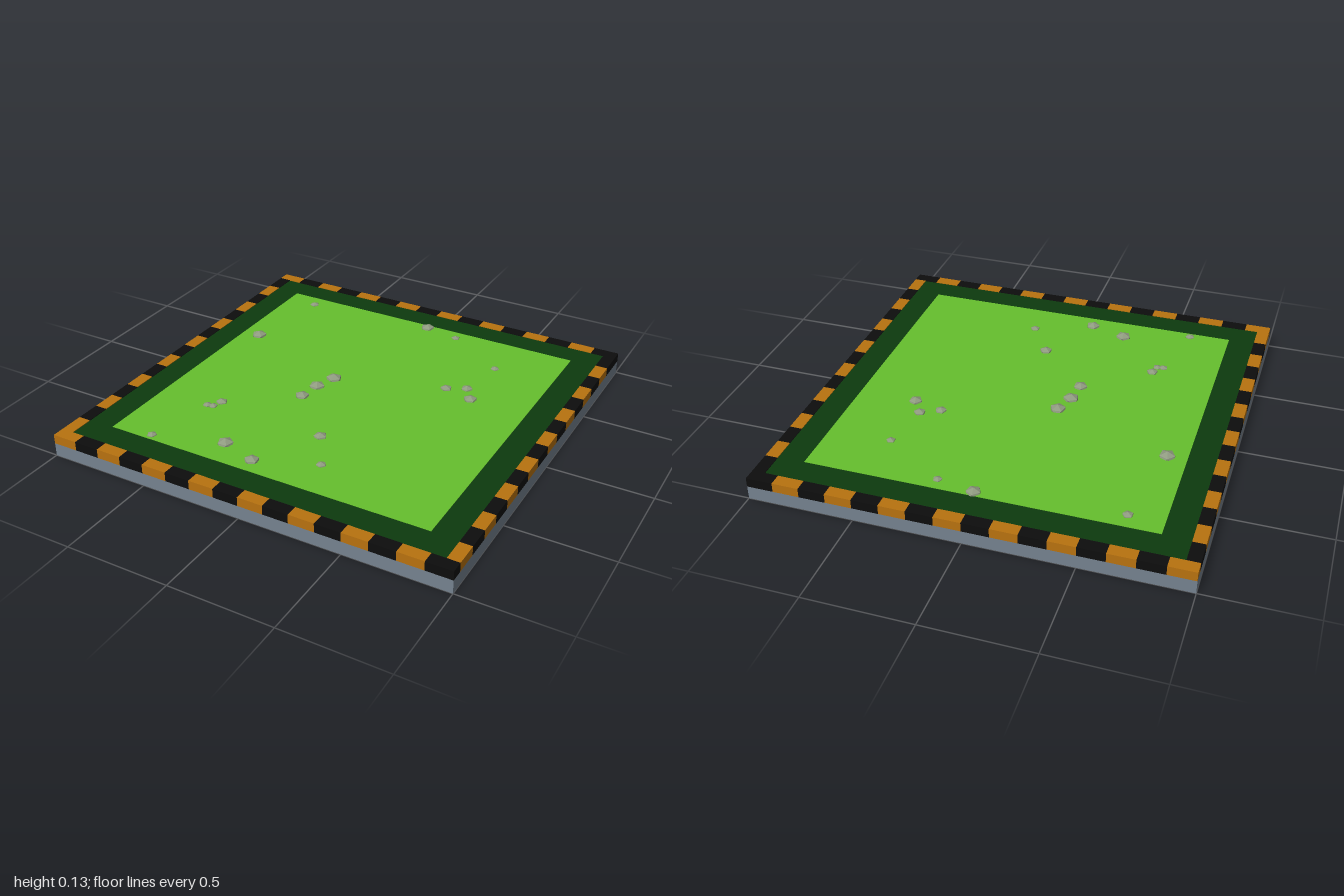
import * as THREE from 'three';

const flat = (name, color) => {
  const m = new THREE.MeshStandardMaterial({ color });
  m.name = name;
  return m;
};

export function createModel() {
  const slate = flat('slate', 0x75828f);
  const orange = flat('orange', 0xb8720f);
  const black = flat('black', 0x0d0d0d);
  const darkGreen = flat('dark green', 0x0d3a0e);
  const grass = flat('grass green', 0x66bf2d);
  const stone = flat('stone', 0x8f9a80);
  stone.flatShading = true;

  const model = new THREE.Group();
  model.name = 'arenaTile';

  // Box given by its centre in plan, its size in plan and its height range
  const slab = (parent, name, mat, x, z, w, d, y0, y1) => {
    const mesh = new THREE.Mesh(new THREE.BoxGeometry(w, y1 - y0, d), mat);
    mesh.position.set(x, (y0 + y1) / 2, z);
    mesh.name = name;
    parent.add(mesh);
  };

  // Layers of the tile
  const BASE = 0.065, RIM = 0.11, INNER = 0.94;
  slab(model, 'base', slate, 0, 0, 2, 2, 0, BASE);
  slab(model, 'hedgeBorder', darkGreen, 0, 0, INNER * 2, INNER * 2, BASE, 0.107);
  slab(model, 'lawn', grass, 0, 0, 1.625, 1.625, 0.1, 0.109);

  // Hazard-striped rim: full rows front and back, columns between them
  const rim = new THREE.Group();
  rim.name = 'stripedRim';
  model.add(rim);
  const COUNT = 16, t = 1 - INNER, mid = (1 + INNER) / 2;
  for (const side of [-1, 1]) {
    for (let i = 0; i < COUNT; i++) {
      const w = 2 / COUNT, d = (2 * INNER) / COUNT;
      slab(rim, 'rowStripe', i % 2 ? black : orange, -1 + (i + 0.5) * w, side * mid, w, t, BASE, RIM);
      slab(rim, 'columnStripe', i % 2 ? orange : black, side * mid, -INNER + (i + 0.5) * d, t, d, BASE, RIM);
    }
  }

  // Rocks: flattened icosahedra, one corner up, half sunk in the lawn
  const rockShape = new THREE.IcosahedronGeometry(1, 0);
  rockShape.rotateZ(-Math.atan(2 / (1 + Math.sqrt(5))));
  const rocks = [ // x, z, radius
    [-0.65, -0.735, 0.027], [0.02, -0.785, 0.038], [0.2, -0.75, 0.024], [0.51, -0.545, 0.024],
    [-0.72, -0.28, 0.042], [0.38, -0.25, 0.031], [0.47, -0.295, 0.031], [0.525, -0.21, 0.036],
    [-0.145, -0.07, 0.042], [-0.18, 0.035, 0.042], [-0.195, 0.15, 0.038], [-0.5, 0.385, 0.03],
    [-0.545, 0.44, 0.024], [-0.515, 0.435, 0.024], [0.065, 0.42, 0.034], [-0.28, 0.675, 0.042],
    [-0.1, 0.735, 0.038], [0.185, 0.617, 0.026], [-0.612, 0.78, 0.026],
  ];
  rocks.forEach(([x, z, r], i) => {
    const rock = new THREE.Mesh(rockShape, stone);
    rock.name = 'rock';
    rock.position.set(x, 0.105, z);
    rock.scale.set(r, r * 0.7, r);
    rock.rotation.y = i * 1.7;
    model.add(rock);
  });

  return model;
}
